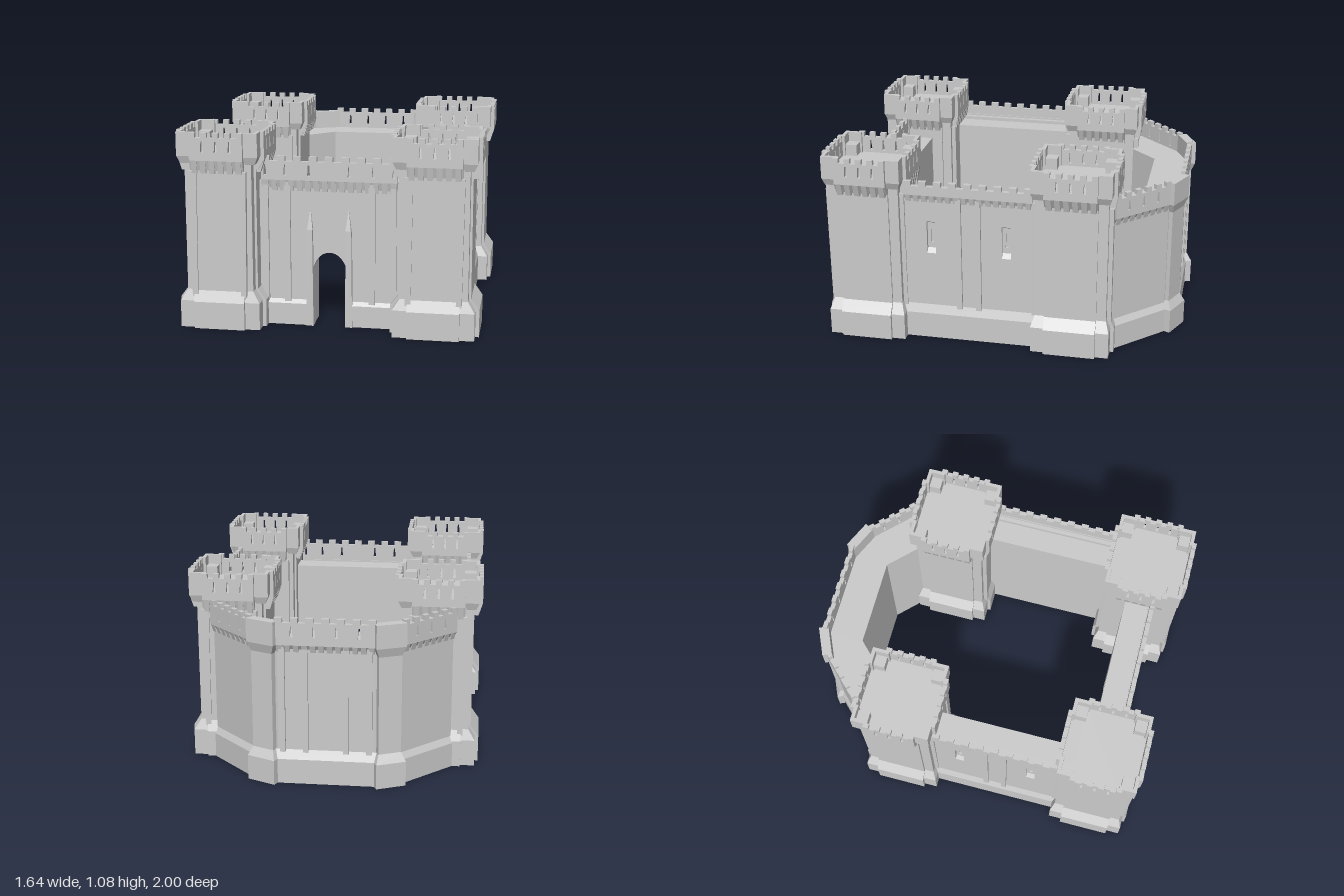
import * as THREE from 'three';

const stone = new THREE.MeshStandardMaterial({ color: 0xcccccc, flatShading: true });

function add(parent, name, geometry, x = 0, y = 0, z = 0) {
  const mesh = new THREE.Mesh(geometry, stone);
  mesh.name = name;
  mesh.position.set(x, y, z);
  parent.add(mesh);
  return mesh;
}

// box given by its lower and upper size, from y0 to y1
function taper(w0, d0, w1, d1, y0, y1) {
  const g = new THREE.BoxGeometry(1, y1 - y0, 1);
  g.translate(0, (y0 + y1) / 2, 0);
  const p = g.attributes.position;
  for (let i = 0; i < p.count; i++) {
    const low = p.getY(i) < (y0 + y1) / 2;
    p.setX(i, p.getX(i) * (low ? w0 : w1));
    p.setZ(i, p.getZ(i) * (low ? d0 : d1));
  }
  return g;
}
const block = (w, d, y0, y1) => taper(w, d, w, d, y0, y1);

const outline = (pts, Type = THREE.Shape) => new Type(pts.map(([x, y]) => new THREE.Vector2(x, y)));
const extrude = (shape, depth) =>
  new THREE.ExtrudeGeometry(shape, { depth, bevelEnabled: false, curveSegments: 8 });

// [z, y] profile swept along x
function prism(profile, length) {
  return extrude(outline(profile), length).rotateY(-Math.PI / 2).translate(length / 2, 0, 0);
}

function slit(x, y, h = 0.06) {
  return outline([[x - 0.008, y], [x + 0.008, y], [x + 0.004, y + h], [x - 0.004, y + h]], THREE.Path);
}

// crenellated parapet with arrow slits, outer face on z = 0, corbels below
function parapet(parent, { length, bottom, top, merlons, slits, corbel, overhang }) {
  const pts = [[-length / 2, bottom], [length / 2, bottom]];
  const step = length / (2 * merlons - 1);
  for (let i = 0; i < merlons; i++) {
    const x = length / 2 - 2 * i * step;
    pts.push([x, top - 0.027], [x, top], [x - step, top], [x - step, top - 0.027]);
  }
  const shape = outline(pts.filter((p, i) => i !== 2 && i !== pts.length - 1));
  slits.forEach((x) => shape.holes.push(slit(x, top - 0.105)));
  add(parent, 'parapet', extrude(shape, 0.025), 0, 0, -0.025);
  const n = Math.max(5, Math.round(length / 0.045));
  const pitch = length / n;
  for (let i = 0; i < n; i++) {
    const wedge = prism([[-overhang - 0.01, corbel], [-overhang * 0.5, corbel], [0, bottom], [-overhang - 0.01, bottom]], pitch * 0.62);
    add(parent, 'corbel', wedge, -length / 2 + (i + 0.5) * pitch);
  }
  add(parent, 'corbelBand', prism([[-overhang - 0.01, corbel + 0.015], [-overhang * 0.7, corbel + 0.015], [-0.002, bottom], [-overhang - 0.01, bottom]], length));
}

// sloping foot of a wall, inner face on z = 0
const plinth = (length, out, y0, y1) => prism([[-0.02, 0], [out, 0], [out, y0], [0.001, y1], [-0.02, y1]], length);

function placed(parent, name, x, z, angle) {
  const g = new THREE.Group();
  g.name = name;
  g.position.set(x, 0, z);
  g.rotation.y = angle;
  parent.add(g);
  return g;
}

function tower(parent, x, z) {
  const t = placed(parent, 'cornerTower', x, z, 0);
  // cross-shaped foot, shaft and head, each made of three crossing blocks
  const arms = [
    { foot: [0.48, 0.29], shaft: [0.39, 0.29], head: [0.46, 0.29] },
    { foot: [0.28, 0.48], shaft: [0.28, 0.43], head: [0.28, 0.46] },
    { foot: [0.44, 0.44], shaft: [0.365, 0.4], head: [0.42, 0.42] },
  ];
  arms.forEach(({ foot, shaft, head }) => {
    add(t, 'towerFoot', block(...foot, 0, 0.15));
    add(t, 'towerFootSlope', taper(...foot, ...shaft, 0.15, 0.21));
    add(t, 'towerShaft', block(...shaft, 0.21, 0.93));
    add(t, 'towerFloor', block(...head, 0.93, 0.96));
  });
  for (const s of [-1, 1]) {
    for (const e of [-1, 1]) {
      // panel jambs
      add(t, 'panelJamb', taper(0.03, 0.03, 0.045, 0.03, 0.18, 0.87), s * 0.135, 0, e * 0.209);
      // corner blocks with a low step inside
      add(t, 'cornerBracket', taper(0.05, 0.06, 0.085, 0.085, 0.91, 0.95), s * 0.178, 0, e * 0.178);
      add(t, 'cornerStep', block(0.085, 0.085, 0.95, 1.025), s * 0.178, 0, e * 0.178);
      add(t, 'cornerMerlon', block(0.02, 0.085, 0.95, 1.08), s * 0.211, 0, e * 0.178);
      add(t, 'cornerMerlon', block(0.085, 0.02, 0.95, 1.08), s * 0.178, 0, e * 0.211);
    }
  }
  for (let i = 0; i < 4; i++) {
    const a = (i * Math.PI) / 2;
    const side = placed(t, 'towerParapet', Math.sin(a) * 0.24, Math.cos(a) * 0.24, a);
    parapet(side, {
      length: 0.29, bottom: 0.93, top: 1.08, merlons: 5, slits: [-0.075, 0, 0.075],
      corbel: 0.86, overhang: i % 2 ? 0.045 : 0.025,
    });
    for (const s of [-1, 1]) add(side, 'parapetReturn', block(0.02, 0.04, 0.93, 1.08), s * 0.135, 0, -0.02);
  }
}

function gateWall(parent) {
  const w = placed(parent, 'gateWall', 0, 0.85, 0);
  const shape = outline([[0.42, 0], [0.42, 0.8], [-0.42, 0.8], [-0.42, 0], [-0.09, 0], [-0.09, 0.33]]);
  shape.quadraticCurveTo(-0.06, 0.41, 0, 0.41);
  shape.quadraticCurveTo(0.06, 0.41, 0.09, 0.33);
  shape.lineTo(0.09, 0);
  add(w, 'wallBody', extrude(shape, 0.15), 0, 0, -0.17);
  parapet(w, {
    length: 0.74, bottom: 0.81, top: 0.94, merlons: 9, slits: [-0.35, -0.24, -0.11, 0.11, 0.24, 0.35],
    corbel: 0.75, overhang: 0.02,
  });
  for (const s of [-1, 1]) {
    add(w, 'wallFoot', plinth(0.28, 0.02, 0.12, 0.14), s * 0.25, 0, -0.02);
    add(w, 'pilaster', block(0.035, 0.03, 0.13, 0.8), s * 0.232, 0, -0.02);
    add(w, 'endPilaster', block(0.03, 0.03, 0.13, 0.8), s * 0.35, 0, -0.02);
    // pointed buttresses beside the gate
    add(w, 'gateButtress', taper(0.04, 0.06, 0.03, 0.05, 0, 0.54), s * 0.107, 0, -0.02);
    add(w, 'gatePinnacle', taper(0.03, 0.05, 0.002, 0.006, 0.54, 0.65), s * 0.105, 0, -0.02);
  }
}

function sideWall(parent, s) {
  const w = placed(parent, 'sideWall', s * 0.745, 0.175, (s * Math.PI) / 2);
  const L = 0.76;
  add(w, 'wallBody', block(L, 0.135, 0, 0.84), 0, 0, -0.1175);
  // outer skin with two window recesses
  const skin = outline([[-L / 2, 0], [L / 2, 0], [L / 2, 0.86], [-L / 2, 0.86]]);
  for (const x of [-0.213, 0.213]) {
    skin.holes.push(outline([[x - 0.025, 0.52], [x + 0.025, 0.52], [x + 0.025, 0.71], [x - 0.025, 0.71]], THREE.Path));
    add(w, 'windowSill', prism([[-0.055, 0.52], [-0.02, 0.52], [-0.05, 0.56], [-0.055, 0.56]], 0.05), x);
    add(w, 'windowHead', prism([[-0.055, 0.69], [-0.02, 0.71], [-0.055, 0.71]], 0.05), x);
    const plate = outline([[x - 0.025, 0.53], [x + 0.025, 0.53], [x + 0.025, 0.71], [x - 0.025, 0.71]]);
    plate.holes.push(slit(x, 0.58, 0.09));
    add(w, 'windowPlate', extrude(plate, 0.012), 0, 0, -0.052);
  }
  add(w, 'wallSkin', extrude(skin, 0.035), 0, 0, -0.055);
  for (const x of [-0.055, 0.055]) add(w, 'pilaster', block(0.03, 0.025, 0.19, 0.86), x, 0, -0.017);
  add(w, 'wallFoot', plinth(L, 0.02, 0.15, 0.2), 0, 0, -0.02);
  parapet(w, {
    length: 0.72, bottom: 0.87, top: 0.95, merlons: 9, slits: [], corbel: 0.83, overhang: 0.02,
  });
}

function bastion(parent) {
  const b = placed(parent, 'rearBastion', 0, 0, 0);
  // five-sided wall seen in plan as [x, -z]
  const half = [[0.42, 0.58], [0.6, 0.5], [0.665, 0.63], [0.4, 0.895], [0.26, 0.945]];
  const mirror = half.map(([x, y]) => [-x, y]).reverse();
  const plan = outline([[0.25, 0.75], ...half, ...mirror, [-0.25, 0.75]]);
  add(b, 'bastionBody', extrude(plan, 0.81).rotateX(-Math.PI / 2));

  const back = placed(b, 'bastionBackWall', 0, -0.97, Math.PI);
  add(back, 'wallFoot', plinth(0.56, 0.025, 0.14, 0.19), 0, 0, -0.025);
  parapet(back, {
    length: 0.54, bottom: 0.79, top: 0.94, merlons: 7, slits: [-0.18, -0.06, 0.06, 0.18],
    corbel: 0.75, overhang: 0.025,
  });
  for (const x of [-0.235, -0.11, 0.11, 0.235]) add(back, 'pilaster', block(0.03, 0.03, 0.18, 0.78), x, 0, -0.022);

  for (const s of [-1, 1]) {
    const d = placed(b, 'bastionDiagonalWall', s * 0.55, -0.77, (s * 3 * Math.PI) / 4);
    add(d, 'wallFoot', plinth(0.42, 0.025, 0.14, 0.19), 0, 0, -0.025);
    parapet(d, {
      length: 0.38, bottom: 0.79, top: 0.93, merlons: 6, slits: [-0.1, 0, 0.1], corbel: 0.75, overhang: 0.025,
    });
    // pier on the corner between the two walls
    const p = placed(b, 'bastionPier', s * 0.333, -0.918, s * (Math.PI - 0.42));
    add(p, 'pierFoot', block(0.17, 0.11, 0, 0.14));
    add(p, 'pierFootSlope', taper(0.17, 0.11, 0.13, 0.06, 0.14, 0.19));
    add(p, 'pierShaft', block(0.13, 0.06, 0.19, 0.74));
    add(p, 'pierBracket', taper(0.13, 0.06, 0.17, 0.09, 0.74, 0.79));
    add(p, 'pierHead', block(0.17, 0.055, 0.79, 0.92), 0, 0, 0.0175);
  }
}

export function createModel() {
  const castle = new THREE.Group();
  castle.name = 'castle';
  for (const s of [-1, 1]) {
    tower(castle, s * 0.58, 0.76);
    tower(castle, s * 0.58, -0.405);
    sideWall(castle, s);
  }
  gateWall(castle);
  bastion(castle);
  return castle;
}
